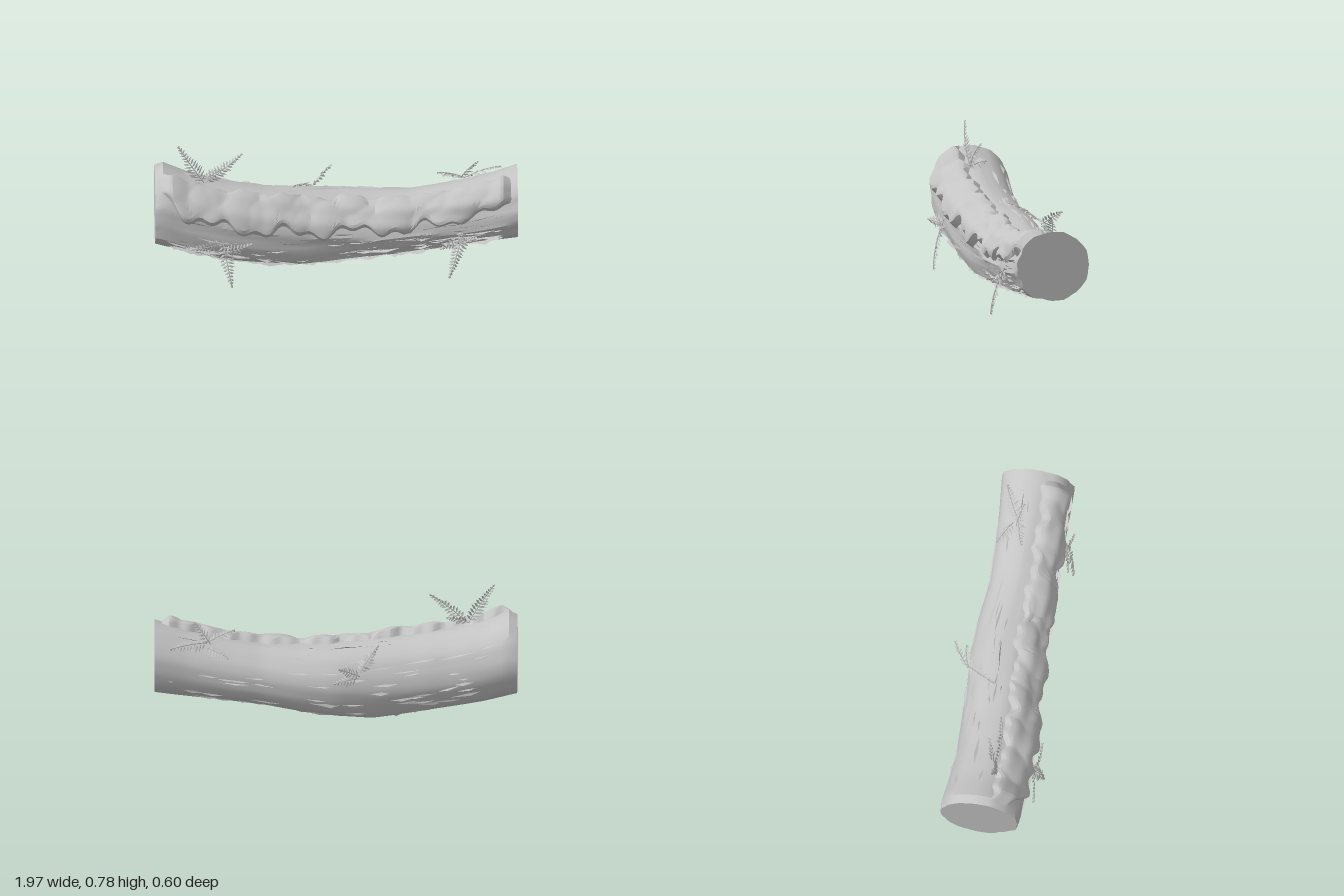
import * as THREE from 'three';
import { mergeGeometries, toCreasedNormals } from 'three/addons/utils/BufferGeometryUtils.js';

// Log cross-sections: x, bottom, top, back, front
const STATIONS = [
  [-0.985, 0.16, 0.59, -0.2, 0.225], [-0.95, 0.15, 0.615, -0.205, 0.235],
  [-0.8, 0.11, 0.55, -0.195, 0.235], [-0.6, 0.065, 0.5, -0.18, 0.235],
  [-0.4, 0.03, 0.465, -0.185, 0.225], [-0.2, 0.005, 0.445, -0.195, 0.205],
  [0, 0.025, 0.43, -0.21, 0.19], [0.2, 0.055, 0.42, -0.2, 0.185],
  [0.4, 0.09, 0.425, -0.18, 0.18], [0.6, 0.115, 0.455, -0.185, 0.178],
  [0.8, 0.145, 0.5, -0.195, 0.18], [0.985, 0.17, 0.56, -0.215, 0.19],
];

function seeded(seed) {
  return () => {
    seed = (seed * 1664525 + 1013904223) % 4294967296;
    return seed / 4294967296;
  };
}

function section(x) {
  let i = 0;
  while (i < STATIONS.length - 2 && x > STATIONS[i + 1][0]) i++;
  const p = STATIONS[i], q = STATIONS[i + 1];
  const t = THREE.MathUtils.clamp((x - p[0]) / (q[0] - p[0]), 0, 1);
  return p.map((v, k) => v + (q[k] - v) * t);
}

// Point on the bark: angle 0 is the front, PI/2 the top
function onLog(x, a, lift = 0) {
  const [, bottom, top, back, front] = section(x);
  const rough = 0.35 + 0.65 * Math.max(0, Math.cos(a + 0.5));
  const grain = rough * (0.006 * Math.sin(7 * a + 2 * Math.sin(2.3 * x))
    + 0.005 * Math.sin(15 * a + 5 * x) + 0.003 * Math.sin(11 * x + 4 * a) - 0.003);
  const r = lift + grain;
  return new THREE.Vector3(x,
    (top + bottom) / 2 + Math.sin(a) * ((top - bottom) / 2 + r),
    (front + back) / 2 + Math.cos(a) * ((front - back) / 2 + r));
}

function meshData(points, index, crease) {
  const g = new THREE.BufferGeometry();
  g.setAttribute('position', new THREE.Float32BufferAttribute(points.flatMap(p => p.toArray()), 3));
  g.setIndex(index);
  g.computeVertexNormals();
  return crease ? toCreasedNormals(g, crease) : g;
}

// Grid of points; rows run along x, columns around the log
function gridIndex(rows, cols) {
  const index = [];
  for (let i = 0; i < rows; i++) for (let j = 0; j < cols; j++) {
    const a = i * (cols + 1) + j, b = a + cols + 1;
    index.push(a, b, b + 1, a, b + 1, a + 1);
  }
  return index;
}

function logGeometry() {
  const rows = 44, cols = 44, points = [];
  for (let i = 0; i <= rows; i++) for (let j = 0; j <= cols; j++) {
    points.push(onLog(-0.985 + 1.97 * i / rows, (j % cols) / cols * Math.PI * 2));
  }
  const index = gridIndex(rows, cols);
  // Sawn ends
  for (const row of [0, rows]) {
    const s = STATIONS[row ? STATIONS.length - 1 : 0];
    const c = points.push(new THREE.Vector3(s[0], (s[1] + s[2]) / 2, (s[3] + s[4]) / 2)) - 1;
    for (let j = 0; j < cols; j++) {
      const a = row * (cols + 1) + j;
      index.push(c, ...(row ? [a + 1, a] : [a, a + 1]));
    }
  }
  return meshData(points, index, 0.6);
}

// Lumpy blanket over the upper front of the log
function mossGeometry() {
  const rnd = seeded(11), blobs = [];
  for (let i = 0; i < 64; i++) {
    blobs.push([-0.95 + 1.9 * i / 63, 0.3 + rnd() * 1.0, 0.07 + rnd() * 0.06]);
  }
  const rows = 110, cols = 16, points = [];
  for (let i = 0; i <= rows; i++) {
    const x = -0.96 + 1.92 * i / rows;
    const end = Math.min(1, (0.96 - Math.abs(x)) / 0.06);
    const low = 0.24 + 0.13 * Math.sin(17 * x) + 0.09 * Math.sin(41 * x + 1)
      + 0.45 * THREE.MathUtils.smoothstep(-x, 0.75, 0.96) + 0.15 * THREE.MathUtils.smoothstep(x, 0.75, 0.96)
      - 0.2 * Math.exp(-(((x - 0.38) / 0.06) ** 2));
    const high = 1.4 + 0.06 * Math.sin(23 * x) + 0.05 * Math.sin(57 * x);
    for (let j = 0; j <= cols; j++) {
      const v = j / cols, a = low + (high - low) * v;
      let bump = 0;
      for (const [bx, ba, br] of blobs) {
        const d = Math.hypot(x - bx, (a - ba) * 0.21) / br;
        if (d < 1) bump = Math.max(bump, Math.sqrt(1 - d * d) * br);
      }
      const edge = Math.min(1, Math.sin(Math.PI * v) * 2.4);
      points.push(onLog(x, a, -0.012 + edge * end * (0.018 + 0.36 * bump)));
    }
  }
  return meshData(points, gridIndex(rows, cols), 0.45);
}

// Splinters of bark lifting off along the grain
function barkGeometry() {
  const rnd = seeded(5), points = [], index = [];
  for (let i = 0; i < 230; i++) {
    const front = i < 150;
    const a = front ? -1.5 + rnd() * 1.75 : 1.6 + rnd() * 3.0;
    const len = 0.06 + rnd() * 0.2, x = -0.96 + rnd() * (1.92 - len);
    const w = 0.03 + rnd() * 0.07, skew = (rnd() - 0.5) * 0.16;
    const lift = front ? 0.008 + rnd() * 0.012 : 0.004 + rnd() * 0.006;
    const n = points.length;
    points.push(onLog(x, a, -0.004), onLog(x + len * 0.45, a - w / 2 + skew / 2, -0.004),
      onLog(x + len, a + skew, -0.004), onLog(x + len * (0.3 + rnd() * 0.4), a + w / 2 + skew / 2, lift));
    index.push(n, n + 1, n + 3, n + 1, n + 2, n + 3);
  }
  return meshData(points, index).toNonIndexed();
}

// One fern frond: a thin arched stem with paired, folded leaflets
function frondGeometry(base, tip, normal, width, seed) {
  const rnd = seeded(seed);
  const b = new THREE.Vector3(...base), t = new THREE.Vector3(...tip), n = new THREE.Vector3(...normal).normalize();
  const length = b.distanceTo(t);
  const mid = b.clone().lerp(t, 0.5).addScaledVector(n, length * 0.1);
  const curve = new THREE.QuadraticBezierCurve3(b, mid, t);
  const stem = new THREE.TubeGeometry(curve, 8, 0.0028, 4).toNonIndexed();
  stem.deleteAttribute('uv');
  const points = [], index = [], pairs = Math.max(7, Math.round(length / 0.021));
  for (let i = 1; i <= pairs; i++) {
    const u = i / (pairs + 0.4), p = curve.getPoint(u), dir = curve.getTangent(u);
    const side = dir.clone().cross(n).normalize();
    const up = side.clone().cross(dir);
    const size = width * Math.min(1, 0.5 + u * 2) * (1.12 - u) * (0.85 + rnd() * 0.3);
    for (const s of [-1, 1]) {
      const out = side.clone().multiplyScalar(s).addScaledVector(dir, 0.45)
        .addScaledVector(up, (rnd() - 0.6) * 0.6).normalize();
      const at = (k, across, rise) => p.clone().addScaledVector(out, size * k)
        .addScaledVector(dir, across).addScaledVector(up, rise);
      const k = points.length, w = 0.0075;
      points.push(p.clone(), at(0.4, -w, -0.004), at(1, 0, -0.008), at(0.5, w, -0.004), at(0.45, 0, 0.002));
      index.push(k, k + 1, k + 4, k + 1, k + 2, k + 4, k + 2, k + 3, k + 4, k + 3, k, k + 4);
    }
  }
  const leaves = meshData(points, index).toNonIndexed();
  return mergeGeometries([stem, leaves]);
}

// Each fern: name, facing normal, then fronds as base, tip, leaflet length
const FERNS = [
  ['topLeftFern', [0, 0.25, 1], [
    [[-0.72, 0.54, 0.06], [-0.86, 0.77, 0.06], 0.06],
    [[-0.71, 0.54, 0.06], [-0.51, 0.715, 0.05], 0.055],
    [[-0.72, 0.55, 0.04], [-0.6, 0.6, 0.0], 0.045]]],
  ['frontLeftFern', [0, 0.1, 1], [
    [[-0.62, 0.28, 0.23], [-0.57, 0.015, 0.3], 0.065],
    [[-0.62, 0.26, 0.24], [-0.8, 0.245, 0.28], 0.05],
    [[-0.63, 0.2, 0.25], [-0.46, 0.27, 0.27], 0.05]]],
  ['frontRightFern', [0, 0.1, 1], [
    [[0.69, 0.3, 0.19], [0.61, 0.03, 0.25], 0.06],
    [[0.68, 0.25, 0.19], [0.56, 0.2, 0.23], 0.045],
    [[0.66, 0.22, 0.19], [0.76, 0.27, 0.23], 0.045]]],
  ['topRightFern', [0, 1, -0.5], [
    [[0.7, 0.475, -0.07], [0.9, 0.485, -0.17], 0.06],
    [[0.7, 0.475, -0.07], [0.55, 0.535, -0.03], 0.045],
    [[0.68, 0.47, -0.08], [0.77, 0.59, -0.05], 0.045],
    [[0.7, 0.46, -0.1], [0.58, 0.43, -0.17], 0.05]]],
  ['backFern', [0, 0.6, -0.8], [
    [[-0.13, 0.34, -0.2], [-0.02, 0.43, -0.295], 0.05],
    [[-0.13, 0.36, -0.19], [-0.23, 0.45, -0.04], 0.055],
    [[-0.12, 0.33, -0.2], [0.01, 0.31, -0.235], 0.05]]],
];

export function createModel() {
  const model = new THREE.Group();
  model.name = 'mossyLog';
  const grey = new THREE.MeshStandardMaterial({ color: 0xc4c4c4, side: THREE.DoubleSide });
  grey.name = 'weathered grey';
  const add = (name, geometry) => {
    const mesh = new THREE.Mesh(geometry, grey);
    mesh.name = name;
    model.add(mesh);
  };
  add('log', logGeometry());
  add('moss', mossGeometry());
  add('barkSplinters', barkGeometry());
  FERNS.forEach(([name, normal, fronds], f) => add(name, mergeGeometries(
    fronds.map(([base, tip, width], i) => frondGeometry(base, tip, normal, width, 10 * f + i + 1)))));
  return model;
}
